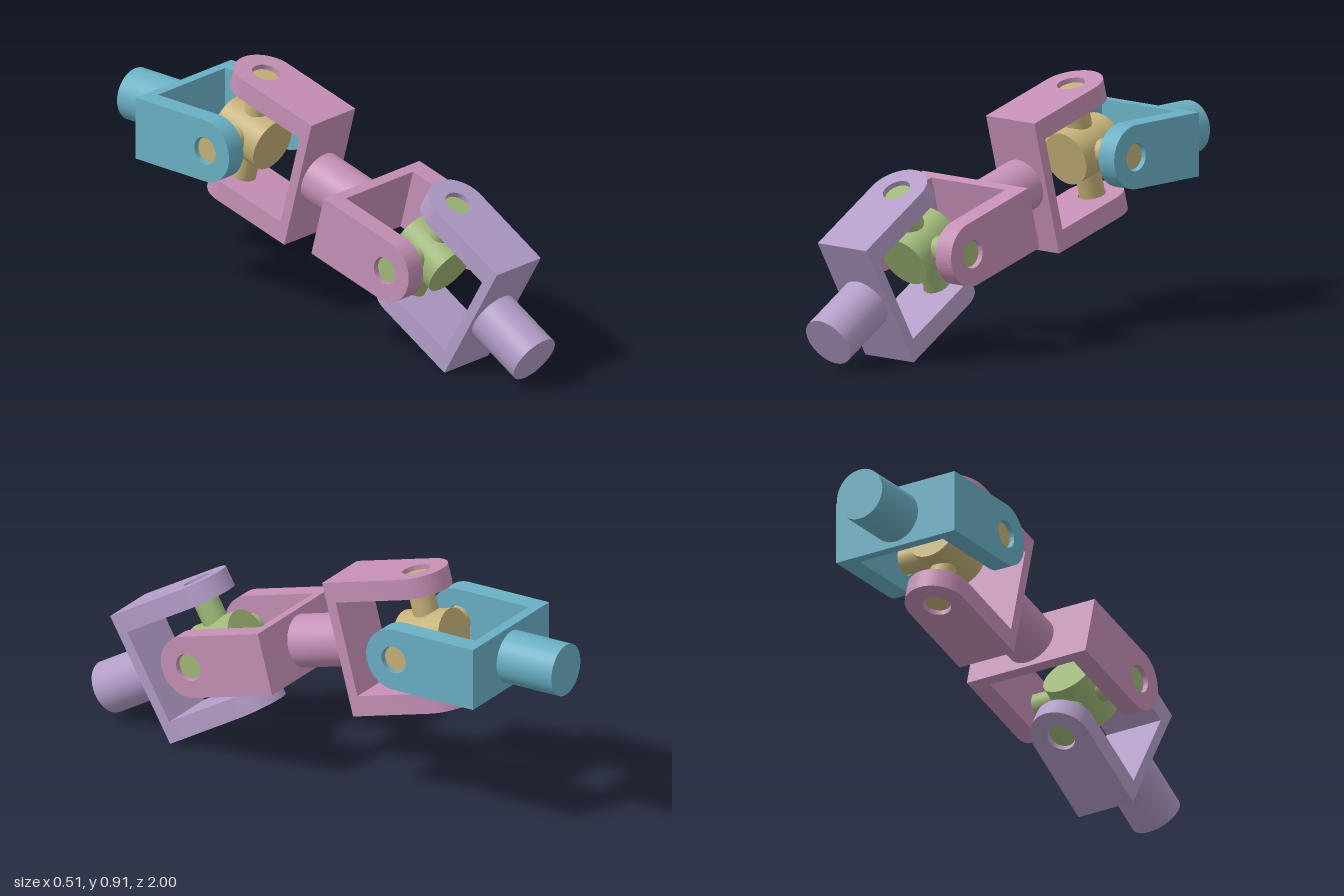
import * as THREE from 'three';
import { toCreasedNormals } from 'three/addons/utils/BufferGeometryUtils.js';

const OUT = 0.257, IN = 0.18;      // outer and inner half spread of the fork arms
const HALF = 0.118, BACK = 0.34;   // arm half width, pivot to back of fork
const PLATE = 0.04, HOLE = 0.052;
const SHAFT_R = 0.098, SHAFT_L = 0.235;
const LINK = 0.911;                // distance between the two pivots
const LOW = new THREE.Vector3(0, 0.395, 0.455);
const TILT = THREE.MathUtils.degToRad(15);

const paint = (color) => new THREE.MeshStandardMaterial({ color });

function part(parent, name, geometry, material) {
  const mesh = new THREE.Mesh(geometry, material);
  mesh.name = name;
  parent.add(mesh);
  return mesh;
}

// Round-ended arm with a bore, lying in the yz plane, extruded along x
function armGeometry(x0) {
  const s = new THREE.Shape();
  s.moveTo(BACK, HALF);
  s.lineTo(0, HALF);
  s.absarc(0, 0, HALF, Math.PI / 2, Math.PI * 1.5, false);
  s.lineTo(BACK, -HALF);
  s.closePath();
  const bore = new THREE.Path();
  bore.absarc(0, 0, HOLE, 0, Math.PI * 2, true);
  s.holes.push(bore);
  const g = new THREE.ExtrudeGeometry(s, { depth: OUT - IN, bevelEnabled: false, curveSegments: 32 });
  g.rotateY(-Math.PI / 2);
  g.translate(x0 + OUT - IN, 0, 0);
  return toCreasedNormals(g, 0.6);
}

// Fork with its pivot at the origin, hinge along x and shaft toward +z
function yoke(name, material, shaftLength) {
  const g = new THREE.Group();
  g.name = name;
  part(g, 'leftArm', armGeometry(IN), material);
  part(g, 'rightArm', armGeometry(-OUT), material);
  part(g, 'basePlate', new THREE.BoxGeometry(IN * 2, HALF * 2, PLATE), material).position.z = BACK - PLATE / 2;
  if (shaftLength) {
    const shaft = new THREE.CylinderGeometry(SHAFT_R, SHAFT_R, shaftLength, 48).rotateX(Math.PI / 2);
    part(g, 'shaft', shaft, material).position.z = BACK + shaftLength / 2;
  }
  return g;
}

// Cross: drum along z with one pin along x and one along y
function cross(name, material) {
  const g = new THREE.Group();
  g.name = name;
  part(g, 'hub', new THREE.CylinderGeometry(0.1, 0.1, 0.2, 48).rotateX(Math.PI / 2), material);
  const pin = new THREE.CylinderGeometry(0.048, 0.048, 0.48, 32);
  part(g, 'uprightPin', pin, material);
  part(g, 'sidePin', pin, material).rotation.z = Math.PI / 2;
  return g;
}

export function createModel() {
  const model = new THREE.Group();
  model.name = 'doubleUniversalJoint';
  const purple = paint(0xb39dc8), pink = paint(0xc48fb5), blue = paint(0x6aafc4);
  const green = paint(0x9fb878), tan = paint(0xc4b078);

  // Front fork and its cross, sloping down 30 degrees toward the front
  const front = new THREE.Group();
  front.name = 'frontAssembly';
  front.position.copy(LOW);
  front.rotation.x = Math.PI / 6;
  const frontYoke = yoke('frontYoke', purple, SHAFT_L);
  frontYoke.rotation.z = Math.PI / 2;
  front.add(frontYoke, cross('frontCross', green));

  // Middle link: two forks at right angles on one shaft, plus the rear cross
  const middle = new THREE.Group();
  middle.name = 'middleLink';
  middle.position.copy(LOW);
  middle.rotation.x = TILT;
  const lower = yoke('lowerYoke', pink, LINK - 2 * BACK);
  lower.rotation.y = Math.PI;
  const upper = yoke('upperYoke', pink, 0);
  upper.position.z = -LINK;
  upper.rotation.z = Math.PI / 2;
  const rearCross = cross('rearCross', tan);
  rearCross.position.z = -LINK;
  middle.add(lower, upper, rearCross);

  // Level rear fork
  const rear = yoke('rearYoke', blue, SHAFT_L);
  rear.position.set(0, LOW.y + LINK * Math.sin(TILT), LOW.z - LINK * Math.cos(TILT));
  rear.rotation.y = Math.PI;

  model.add(front, middle, rear);
  return model;
}
